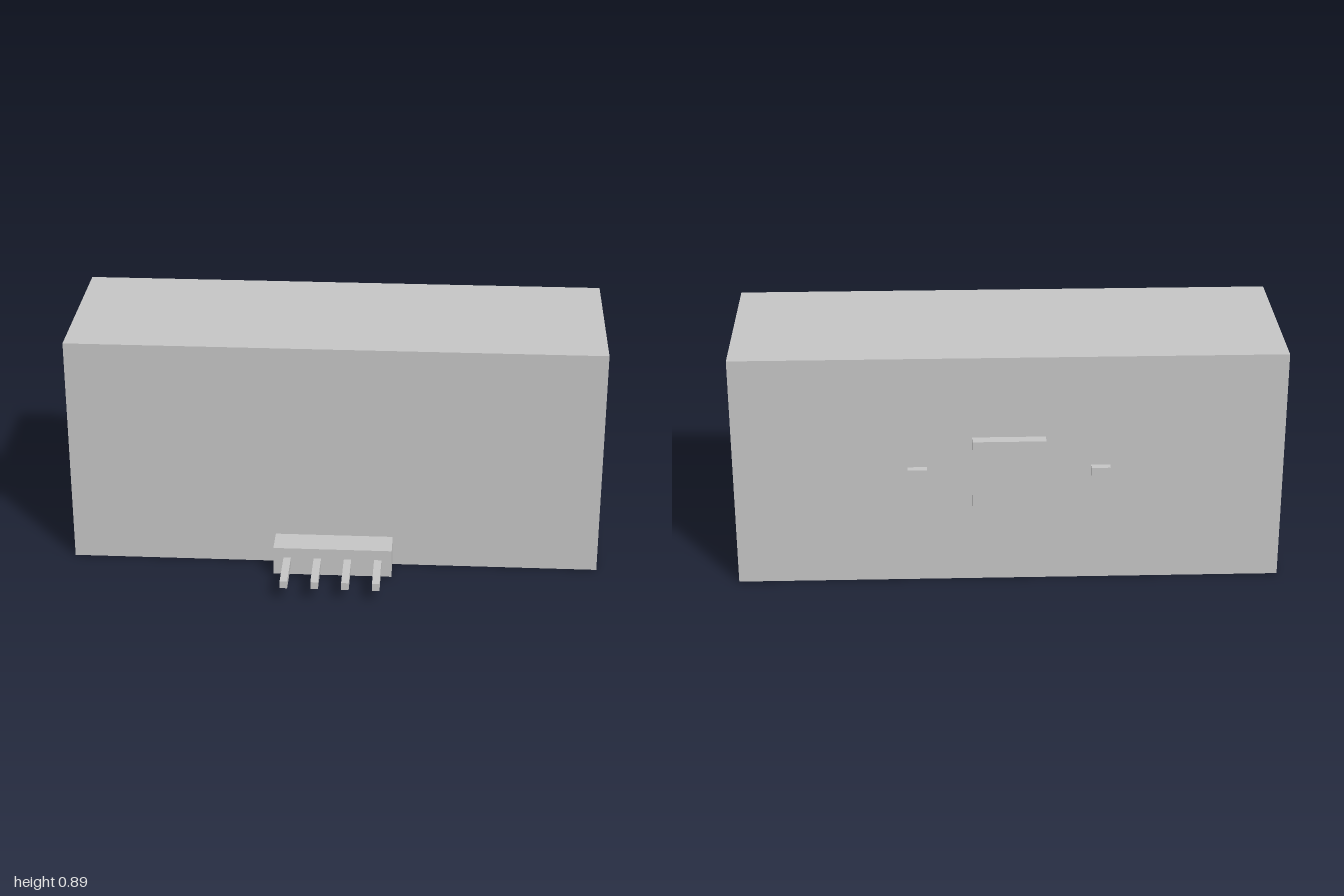
import * as THREE from 'three';

export function createModel() {
  const model = new THREE.Group();
  const grey = new THREE.MeshStandardMaterial({ color: 0xc8c8c8 });
  grey.name = 'light grey';

  // Box given by its lower and upper limits on each axis
  const addBox = (name, [x0, x1], [y0, y1], [z0, z1]) => {
    const mesh = new THREE.Mesh(new THREE.BoxGeometry(x1 - x0, y1 - y0, z1 - z0), grey);
    mesh.position.set((x0 + x1) / 2, (y0 + y1) / 2, (z0 + z1) / 2);
    mesh.name = name;
    model.add(mesh);
  };

  const back = -0.459, front = 0.207;

  // Main housing
  addBox('housing', [-1, 1], [0, 0.888], [back, front]);

  // Connector with four pins at the lower front edge
  addBox('connectorBlock', [-0.223, 0.223], [0.008, 0.118], [front, 0.32]);
  for (let i = 0; i < 4; i++) {
    const x = (i - 1.5) * 0.114;
    addBox(`connectorPin${i + 1}`, [x - 0.014, x + 0.014], [0.049, 0.078], [0.32, 0.5]);
  }

  // Chip and two small components on the back
  addBox('chip', [-0.133, 0.133], [0.312, 0.578], [-0.5, back]);
  for (const side of [-1, 1]) {
    const x = side * 0.333;
    addBox(side < 0 ? 'rightComponent' : 'leftComponent',
      [x - 0.035, x + 0.035], [0.428, 0.462], [-0.486, back]);
  }

  return model;
}
